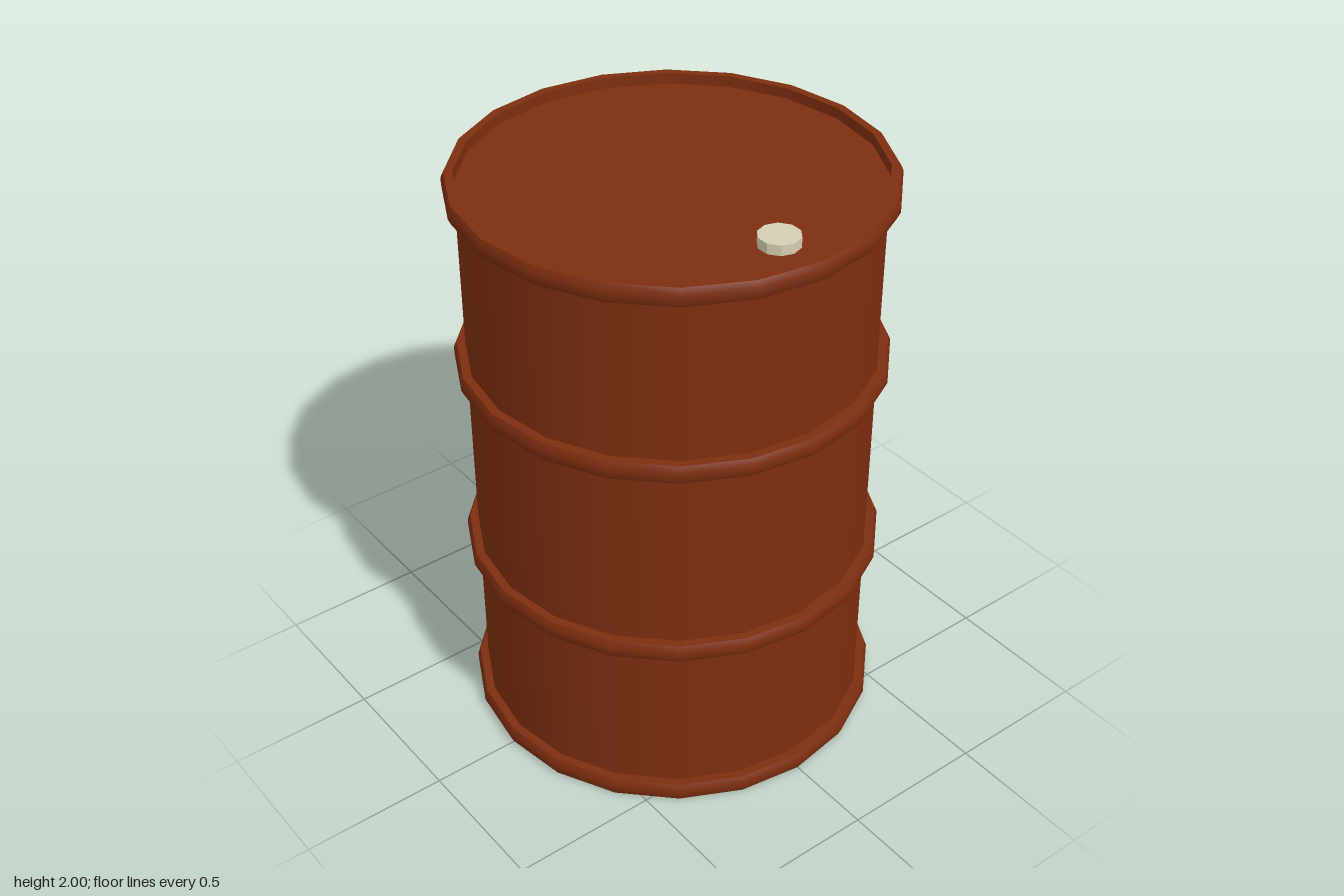
import * as THREE from 'three';

const SIDES = 20;
const BODY_R = 0.667, EDGE_R = 0.695, TIP_R = 0.704;
const HALF = 0.0315;   // half height of a hoop
const RECESS = 0.037;  // depth of the end plates below the rims

export function createModel() {
  const rust = new THREE.MeshStandardMaterial({ color: 0x7d2e0f });
  rust.name = 'rust brown paint';
  const cream = new THREE.MeshStandardMaterial({ color: 0xd4ceb2 });
  cream.name = 'cream plug';

  const model = new THREE.Group();
  model.name = 'barrel';

  function add(parent, name, geometry, material = rust) {
    const mesh = new THREE.Mesh(geometry, material);
    mesh.name = name;
    parent.add(mesh);
    return mesh;
  }

  // One smooth strip turned around the y axis; separate strips keep sharp edges
  const strip = (...pts) =>
    new THREE.LatheGeometry(pts.map(([r, y]) => new THREE.Vector2(r, y)), SIDES);

  // Drum wall
  add(model, 'wall', strip([BODY_R, 0.03], [BODY_R, 1.97]));

  // Hoops: flat top and bottom, slightly ridged outer face
  const hoops = { bottomRim: HALF, lowerHoop: 0.65, upperHoop: 1.357, topRim: 2 - HALF };
  for (const [name, y] of Object.entries(hoops)) {
    const hoop = new THREE.Group();
    hoop.name = name;
    hoop.position.y = y;
    add(hoop, 'hoopFace', strip([EDGE_R, -HALF], [TIP_R, -0.012], [TIP_R, 0.012], [EDGE_R, HALF]));
    add(hoop, 'hoopTop', strip([EDGE_R, HALF], [BODY_R, HALF]));
    add(hoop, 'hoopUnderside', strip([BODY_R, -HALF], [EDGE_R, -HALF]));
    model.add(hoop);
  }

  // Recessed end plates with the inner walls of their rims
  for (const top of [true, false]) {
    const y = top ? 2 - RECESS : RECESS;
    const plate = add(model, top ? 'lid' : 'base', new THREE.CircleGeometry(BODY_R, SIDES));
    plate.rotation.x = top ? -Math.PI / 2 : Math.PI / 2;
    plate.position.y = y;
    add(model, top ? 'lidRimInside' : 'baseRimInside',
      top ? strip([BODY_R, 2], [BODY_R, y]) : strip([BODY_R, y], [BODY_R, 0]));
  }

  // Filler plug near the front of the lid
  const plugMesh = add(model, 'plug', new THREE.CylinderGeometry(0.067, 0.067, 0.035, 10).toNonIndexed(), cream);
  plugMesh.geometry.computeVertexNormals();
  plugMesh.position.set(0, 2 - RECESS + 0.0165, 0.5);

  return model;
}
